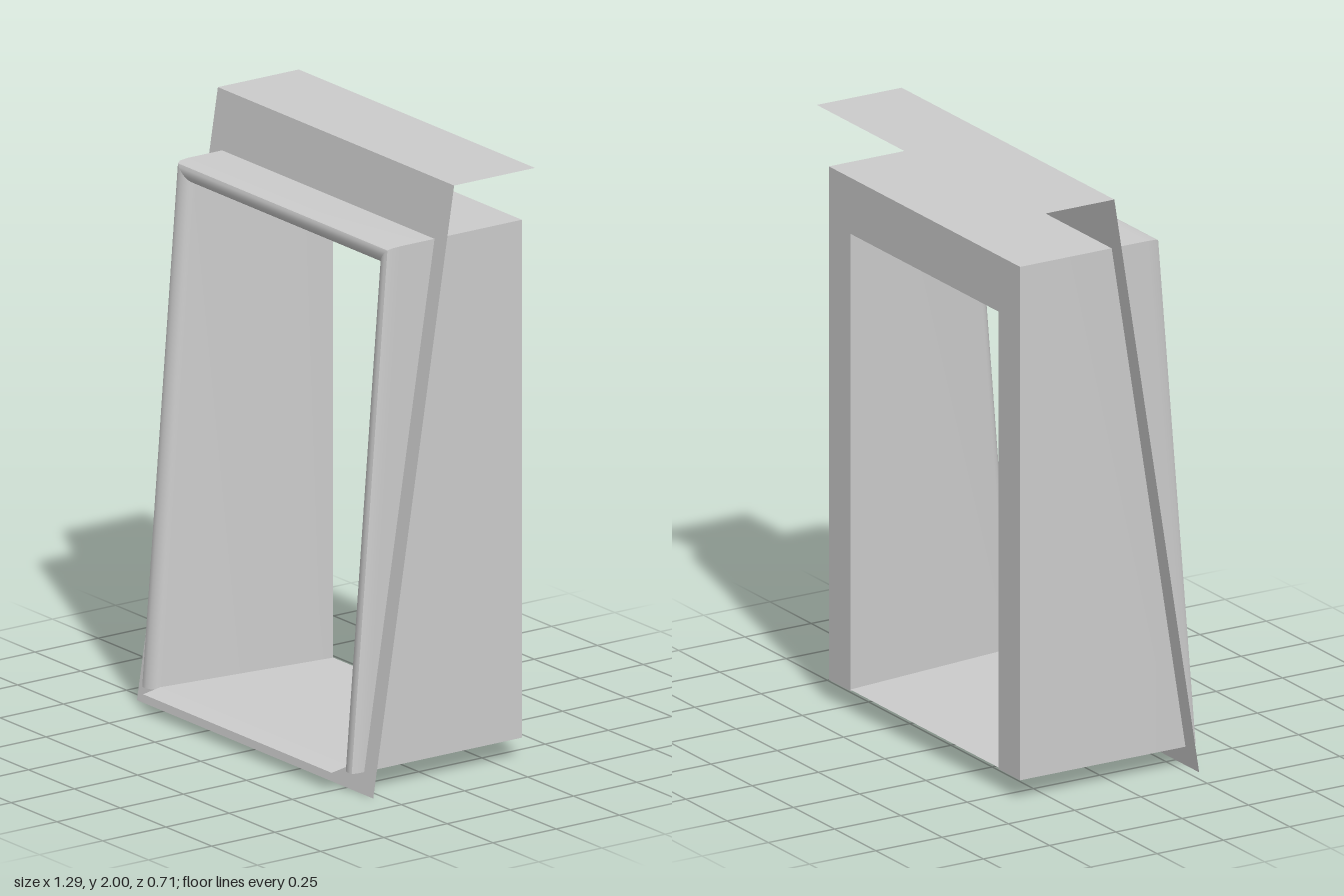
import * as THREE from 'three';
import { toCreasedNormals } from 'three/addons/utils/BufferGeometryUtils.js';

const material = new THREE.MeshStandardMaterial({ color: 0xcccccc, side: THREE.DoubleSide });

const HALF = 0.58, TOP = 1.81, BOTTOM = 0.07, BACK = -0.35;
const frontZ = (y) => 0.32 - 0.0815 * (y - BOTTOM); // leaning front of the casing
const flangeZ = (y) => 0.285 - 0.16 * y;            // leaning plane of the flashing

// Surface through rows of points, all rows the same length
function loft(rows, crease = 0.75) {
  const pos = [], index = [], n = rows[0].length;
  rows.forEach((row) => row.forEach((p) => pos.push(...p)));
  for (let i = 0; i < rows.length - 1; i++) {
    for (let j = 0; j < n - 1; j++) {
      const a = i * n + j, b = a + 1, c = a + n, d = c + 1;
      index.push(a, c, b, b, c, d);
    }
  }
  const g = new THREE.BufferGeometry();
  g.setAttribute('position', new THREE.Float32BufferAttribute(pos, 3));
  g.setIndex(index);
  return toCreasedNormals(g, crease);
}

// Casing section: [side inset, top inset, depth behind the leaning front]; null depth = back plane
const section = [
  [0, 0, null], [0, 0, 0.05],
  [0.002, 0.002, 0.015], [0.008, 0.008, 0.003], [0.018, 0.018, 0],
  [0.03, 0.03, 0.001], [0.042, 0.042, 0.005], [0.054, 0.054, 0.013],
  [0.061, 0.061, 0.023], [0.065, 0.065, 0.035],
  [0.13, 0.19, null], [0, 0, null],
];

// One cross-section of the casing, at a foot or at a mitred top corner
function station(side, atTop) {
  return section.map(([dx, dy, depth]) => {
    const y = atTop ? TOP - dy : BOTTOM;
    return [side * (HALF - dx), y, depth === null ? BACK : frontZ(y) - depth];
  });
}

export function createModel() {
  const model = new THREE.Group();
  const add = (name, geometry) => {
    const mesh = new THREE.Mesh(geometry, material);
    mesh.name = name;
    model.add(mesh);
  };

  // Casing: two jambs and a head, mitred at the top corners
  add('rightJamb', loft([station(-1, false), station(-1, true)]));
  add('head', loft([station(-1, true), station(1, true)]));
  add('leftJamb', loft([station(1, true), station(1, false)]));

  // Sill: thin sheet widening forwards, with a drooping lip
  add('sill', loft([
    [[-0.45, 0.075, BACK], [0.45, 0.075, BACK]],
    [[-0.515, 0.077, 0.288], [0.515, 0.077, 0.288]],
    [[-0.515, 0.066, 0.355], [0.515, 0.066, 0.355]],
  ], 0.1));

  // Flange: thin sheet around the casing, leaning back
  const outline = new THREE.Shape([
    new THREE.Vector2(-0.645, 0), new THREE.Vector2(0.645, 0),
    new THREE.Vector2(0.645, 2), new THREE.Vector2(-0.645, 2),
  ]);
  outline.holes.push(new THREE.Path([
    new THREE.Vector2(-HALF, BOTTOM), new THREE.Vector2(-HALF, TOP),
    new THREE.Vector2(HALF, TOP), new THREE.Vector2(HALF, BOTTOM),
  ]));
  const flange = new THREE.ShapeGeometry(outline);
  const p = flange.attributes.position;
  for (let i = 0; i < p.count; i++) p.setZ(i, flangeZ(p.getY(i)));
  flange.computeVertexNormals();
  add('flange', flange);

  // Top sheet: runs back from the upper edge of the flange
  add('topSheet', loft([
    [[-0.645, 2, -0.355], [0.645, 2, -0.355]],
    [[-0.645, 2, flangeZ(2)], [0.645, 2, flangeZ(2)]],
  ]));

  return model;
}
